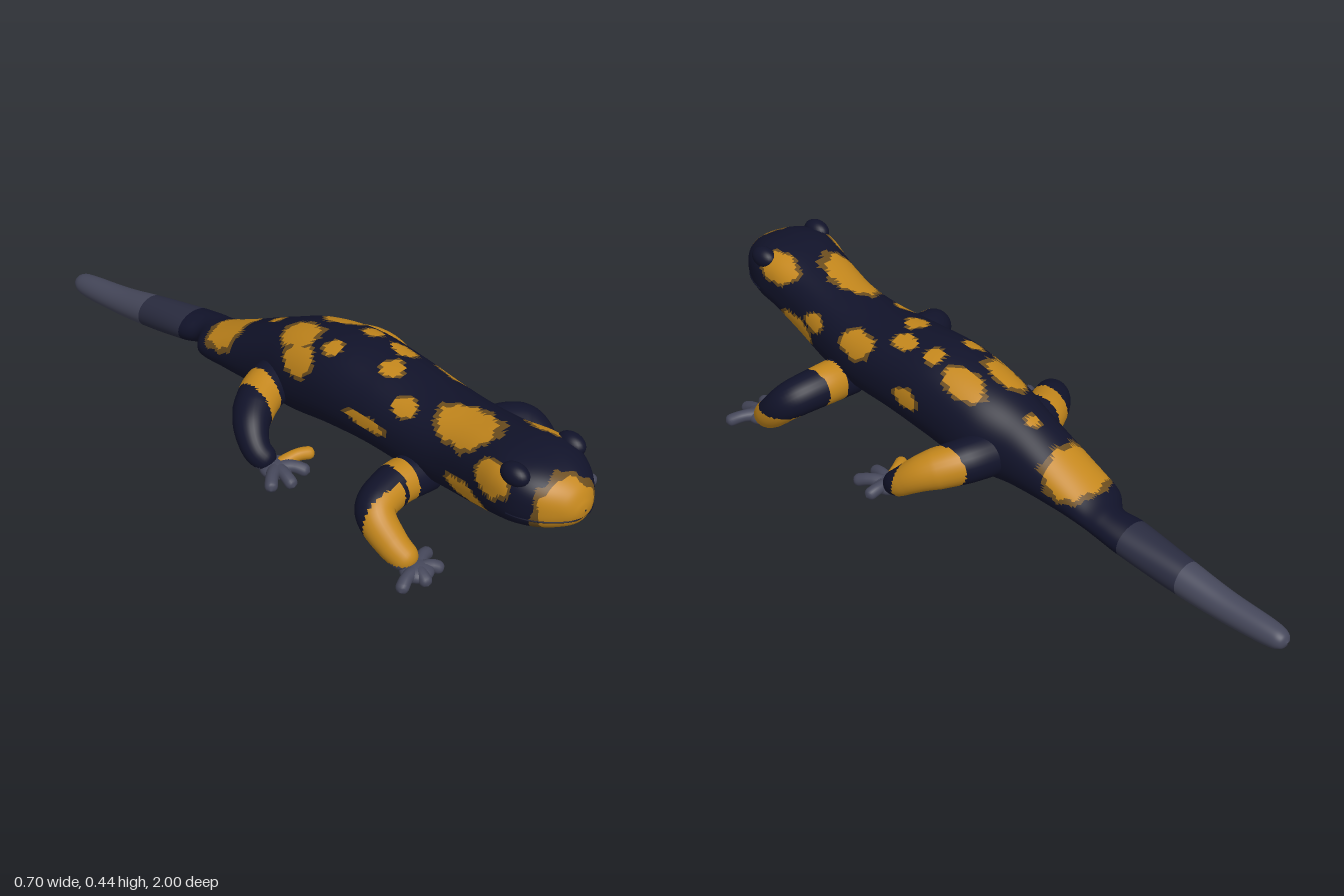
import * as THREE from 'three';
import { mergeVertices } from 'three/addons/utils/BufferGeometryUtils.js';

const V = (x, y, z) => new THREE.Vector3(x, y, z);
const mat = (color) => new THREE.MeshStandardMaterial({ color, roughness: 0.8 });
const skins = {
  dark: mat(0x11132a), slate: mat(0x2a2c40), grey: mat(0x45475a),
  amber: mat(0x6b4d1e), yellow: mat(0xc4871c),
};

// Body stations: z, left edge, right edge, bottom, top, squareness
const stations = [
  [-1, -0.008, -0.002, 0.032, 0.038, 2], [-0.985, -0.03, 0.02, 0.012, 0.058, 2],
  [-0.94, -0.04, 0.03, 0.003, 0.071, 2], [-0.8, -0.04, 0.045, 0.01, 0.092, 2],
  [-0.65, -0.042, 0.062, 0.03, 0.126, 2], [-0.5, -0.045, 0.078, 0.064, 0.155, 2],
  [-0.43, -0.035, 0.08, 0.082, 0.167, 2], [-0.37, -0.082, 0.081, 0.087, 0.185, 2],
  [-0.27, -0.093, 0.087, 0.092, 0.235, 2.1], [-0.12, -0.104, 0.105, 0.095, 0.315, 2.1],
  [0, -0.122, 0.138, 0.1, 0.365, 2.2], [0.15, -0.13, 0.146, 0.13, 0.398, 2.2],
  [0.3, -0.13, 0.142, 0.15, 0.395, 2.2], [0.45, -0.13, 0.132, 0.155, 0.387, 2.2],
  [0.58, -0.13, 0.11, 0.168, 0.397, 2.3], [0.7, -0.15, 0.088, 0.2, 0.418, 2.5],
  [0.8, -0.175, 0.08, 0.24, 0.437, 2.8], [0.87, -0.177, 0.074, 0.257, 0.436, 2.8],
  [0.93, -0.152, 0.05, 0.268, 0.42, 2.5], [0.975, -0.11, 0.012, 0.285, 0.392, 2.2],
  [0.994, -0.08, -0.02, 0.307, 0.36, 2], [1, -0.053, -0.047, 0.332, 0.338, 2],
];
const spine = new THREE.CatmullRomCurve3(
  stations.map(([z, a, b, c, d]) => V((a + b) / 2, (c + d) / 2, z)), false, 'catmullrom');
const girth = new THREE.CatmullRomCurve3(
  stations.map(([z, a, b, c, d, n]) => V((b - a) / 2, (d - c) / 2, n)), false, 'catmullrom');

// Markings on the body: centre x, y, z and radii x, y, z
const spots = [
  [-0.05, 0.37, 0, 0.05, 0.06, 0.075], [0.07, 0.36, 0.05, 0.04, 0.06, 0.07],
  [0.06, 0.39, 0.28, 0.028, 0.05, 0.04], [-0.02, 0.4, 0.32, 0.033, 0.05, 0.035],
  [0.11, 0.34, 0.42, 0.035, 0.05, 0.06], [0, 0.22, -0.3, 0.12, 0.07, 0.08],
  [0.01, 0.33, -0.15, 0.03, 0.04, 0.03], [-0.06, 0.39, 0.14, 0.025, 0.04, 0.03],
  [0.06, 0.39, 0.17, 0.028, 0.04, 0.03], [-0.07, 0.4, 0.62, 0.07, 0.06, 0.11],
  [0.06, 0.41, 0.79, 0.045, 0.05, 0.07], [-0.085, 0.34, 0.97, 0.085, 0.085, 0.08],
  [-0.17, 0.38, 0.79, 0.04, 0.05, 0.07], [-0.13, 0.27, 0.7, 0.05, 0.03, 0.08],
  [-0.11, 0.33, 0.05, 0.04, 0.05, 0.06], [-0.12, 0.28, 0.33, 0.04, 0.02, 0.07],
  [-0.1, 0.365, 0.43, 0.04, 0.025, 0.04], [0.1, 0.26, 0.7, 0.05, 0.045, 0.08],
  [0.14, 0.28, 0.2, 0.04, 0.03, 0.045], [0.08, 0.32, 0.6, 0.04, 0.03, 0.05],
];
function bodySkin(p) {
  const ragged = 1 + 0.1 * Math.sin(p.x * 90 + p.z * 40) * Math.sin(p.z * 75 + p.y * 50);
  const d = ragged * Math.min(...spots.map(([x, y, z, a, b, c]) =>
    Math.hypot((p.x - x) / a, (p.y - y) / b, (p.z - z) / c)));
  if (d < 0.92) return 'yellow';
  if (d < 1.1) return 'amber';
  return p.z < -0.68 ? 'grey' : p.z < -0.5 ? 'slate' : 'dark';
}

// Splits a surface into one mesh per skin colour, keeping shared smooth normals
function paint(name, geo, skinAt) {
  const group = new THREE.Group();
  group.name = name;
  const pos = geo.attributes.position, idx = geo.index.array, sets = {};
  for (let i = 0; i < idx.length; i += 3) {
    const tri = [idx[i], idx[i + 1], idx[i + 2]];
    const c = V(0, 0, 0);
    tri.forEach((k) => c.add(V(pos.getX(k), pos.getY(k), pos.getZ(k))));
    (sets[skinAt(c.divideScalar(3))] ??= []).push(...tri);
  }
  for (const [skin, list] of Object.entries(sets)) {
    const part = new THREE.BufferGeometry();
    part.setAttribute('position', pos);
    part.setAttribute('normal', geo.attributes.normal);
    part.setIndex(list);
    const mesh = new THREE.Mesh(part, skins[skin]);
    mesh.name = `${name} ${skin}`;
    group.add(mesh);
  }
  return group;
}

function bodyGeometry(rings = 210, sides = 72) {
  const pos = [], index = [];
  const bend = (v, n) => Math.sign(v) * Math.abs(v) ** (2 / n);
  for (let i = 0; i <= rings; i++) {
    const c = spine.getPoint(i / rings), g = girth.getPoint(i / rings);
    for (let j = 0; j < sides; j++) {
      const a = (j / sides) * Math.PI * 2;
      pos.push(c.x + g.x * bend(Math.cos(a), g.z), c.y + g.y * bend(Math.sin(a), g.z), c.z);
      if (i === rings) continue;
      const p = i * sides + j, q = i * sides + (j + 1) % sides;
      index.push(p, q, p + sides, q, q + sides, p + sides);
    }
  }
  const geo = new THREE.BufferGeometry();
  geo.setAttribute('position', new THREE.Float32BufferAttribute(pos, 3));
  geo.setIndex(index);
  geo.computeVertexNormals();
  return geo;
}

// Tapered tube with a rounded far end
function limbGeometry(points, radii, segs, sides) {
  const curve = new THREE.CatmullRomCurve3(points);
  const geo = new THREE.TubeGeometry(curve, segs, 1, sides);
  const pos = geo.attributes.position, cap = radii.at(-1) / curve.getLength();
  for (let i = 0; i <= segs; i++) {
    const u = i / segs, c = curve.getPointAt(u);
    const f = u * (radii.length - 1), k = Math.min(Math.floor(f), radii.length - 2);
    let r = THREE.MathUtils.lerp(radii[k], radii[k + 1], f - k);
    if (u > 1 - cap) r *= Math.sqrt(Math.max(0.002, 1 - ((u - 1 + cap) / cap) ** 2));
    for (let j = 0; j <= sides; j++) {
      const n = i * (sides + 1) + j;
      const p = V(0, 0, 0).fromBufferAttribute(pos, n).sub(c).multiplyScalar(r).add(c);
      pos.setXYZ(n, p.x, p.y, p.z);
    }
  }
  geo.deleteAttribute('uv');
  geo.deleteAttribute('normal');
  const smooth = mergeVertices(geo, 1e-5);
  smooth.computeVertexNormals();
  return smooth;
}

// Leg with palm and toes; skinAt colours it by position
function makeLeg(name, path, radii, tips, skinAt, toeSkins = {}) {
  const leg = new THREE.Group();
  leg.name = name;
  const points = path.map((p) => V(...p)), wrist = points.at(-1);
  leg.add(paint(`${name} limb`, limbGeometry(points, radii, 60, 28), skinAt));
  const palm = new THREE.Mesh(new THREE.SphereGeometry(1, 24, 16), skins.grey);
  palm.name = `${name} palm`;
  palm.scale.set(0.045, 0.024, 0.045);
  palm.position.copy(wrist).add(V(0, -0.005, 0.01));
  leg.add(palm);
  tips.forEach((tip, i) => {
    const end = V(...tip), mid = wrist.clone().lerp(end, 0.55).add(V(0, 0.008, 0));
    const toe = new THREE.Mesh(
      limbGeometry([palm.position.clone(), mid, end], [0.022, 0.017, 0.018], 18, 14),
      skins[toeSkins[i] ?? 'grey']);
    toe.name = `${name} toe`;
    leg.add(toe);
  });
  return leg;
}

export function createModel() {
  const model = new THREE.Group();
  model.name = 'salamander';
  model.add(paint('body', bodyGeometry(), bodySkin));

  // Brow bumps with eyes
  for (const [x, y, z] of [[-0.147, 0.416, 0.855], [0.05, 0.408, 0.86]]) {
    const eye = new THREE.Mesh(new THREE.SphereGeometry(0.03, 24, 16), skins.dark);
    eye.name = 'eye';
    eye.position.set(x, y, z);
    eye.scale.set(0.95, 1, 1.4);
    model.add(eye);
  }

  // Mouth line wrapped round the snout
  const lip = [[], []];
  for (let t = 0.8; t < 0.955; t += 0.01) {
    const c = spine.getPoint(t), g = girth.getPoint(t);
    const x = g.x * (1 - Math.min(1, Math.abs(0.315 - c.y) / g.y) ** g.z) ** (1 / g.z);
    lip[0].push(V(c.x - x, 0.315, c.z));
    lip[1].unshift(V(c.x + x, 0.315, c.z));
  }
  const mouth = new THREE.Mesh(new THREE.TubeGeometry(
    new THREE.CatmullRomCurve3([...lip[0], ...lip[1]]), 80, 0.0025, 6), skins.dark);
  mouth.name = 'mouth';
  model.add(mouth);

  const frontRadii = [0.06, 0.058, 0.054, 0.045, 0.034];
  const hindRadii = [0.065, 0.062, 0.056, 0.042, 0.032];
  model.add(
    makeLeg('right front leg',
      [[-0.07, 0.19, 0.49], [-0.19, 0.195, 0.49], [-0.275, 0.178, 0.515], [-0.282, 0.12, 0.58], [-0.265, 0.07, 0.645]],
      frontRadii,
      [[-0.35, 0.055, 0.68], [-0.28, 0.055, 0.71], [-0.205, 0.055, 0.69], [-0.185, 0.058, 0.62]],
      (p) => (p.y < 0.085 ? 'grey' : p.x > -0.185 && p.x < -0.145 || p.z > 0.53 && p.x < -0.2 ? 'yellow' : 'dark')),
    makeLeg('left front leg',
      [[0.07, 0.19, 0.5], [0.18, 0.2, 0.5], [0.265, 0.18, 0.53], [0.282, 0.12, 0.59], [0.255, 0.07, 0.655]],
      frontRadii,
      [[0.14, 0.06, 0.66], [0.2, 0.06, 0.72], [0.25, 0.045, 0.75], [0.345, 0.055, 0.72]],
      (p) => (p.x > 0.13 && p.x < 0.195 || p.y < 0.145 && p.x > 0.255 ? 'yellow' : p.y < 0.09 ? 'grey' : 'dark'),
      { 0: 'yellow' }),
    makeLeg('right hind leg',
      [[-0.06, 0.2, -0.06], [-0.16, 0.195, -0.03], [-0.25, 0.175, 0.03], [-0.275, 0.13, 0.08], [-0.255, 0.095, 0.12]],
      hindRadii,
      [[-0.33, 0.085, 0.19], [-0.27, 0.08, 0.215], [-0.2, 0.085, 0.2], [-0.145, 0.1, 0.16]],
      (p) => (p.y < 0.1 && p.z > 0.08 ? 'grey' : p.x > -0.2 && p.x < -0.14 ? 'yellow' : 'dark'),
      { 3: 'yellow' }),
    makeLeg('left hind leg',
      [[0.07, 0.2, -0.06], [0.16, 0.2, -0.035], [0.245, 0.175, 0.03], [0.275, 0.13, 0.09], [0.262, 0.095, 0.135]],
      hindRadii,
      [[0.165, 0.09, 0.195], [0.24, 0.08, 0.23], [0.31, 0.08, 0.235], [0.345, 0.085, 0.15]],
      (p) => (p.y < 0.1 && p.z > 0.08 ? 'grey' : p.x > 0.2 && p.z < 0.085 ? 'yellow' : 'dark'),
      { 0: 'yellow' }),
  );
  return model;
}
